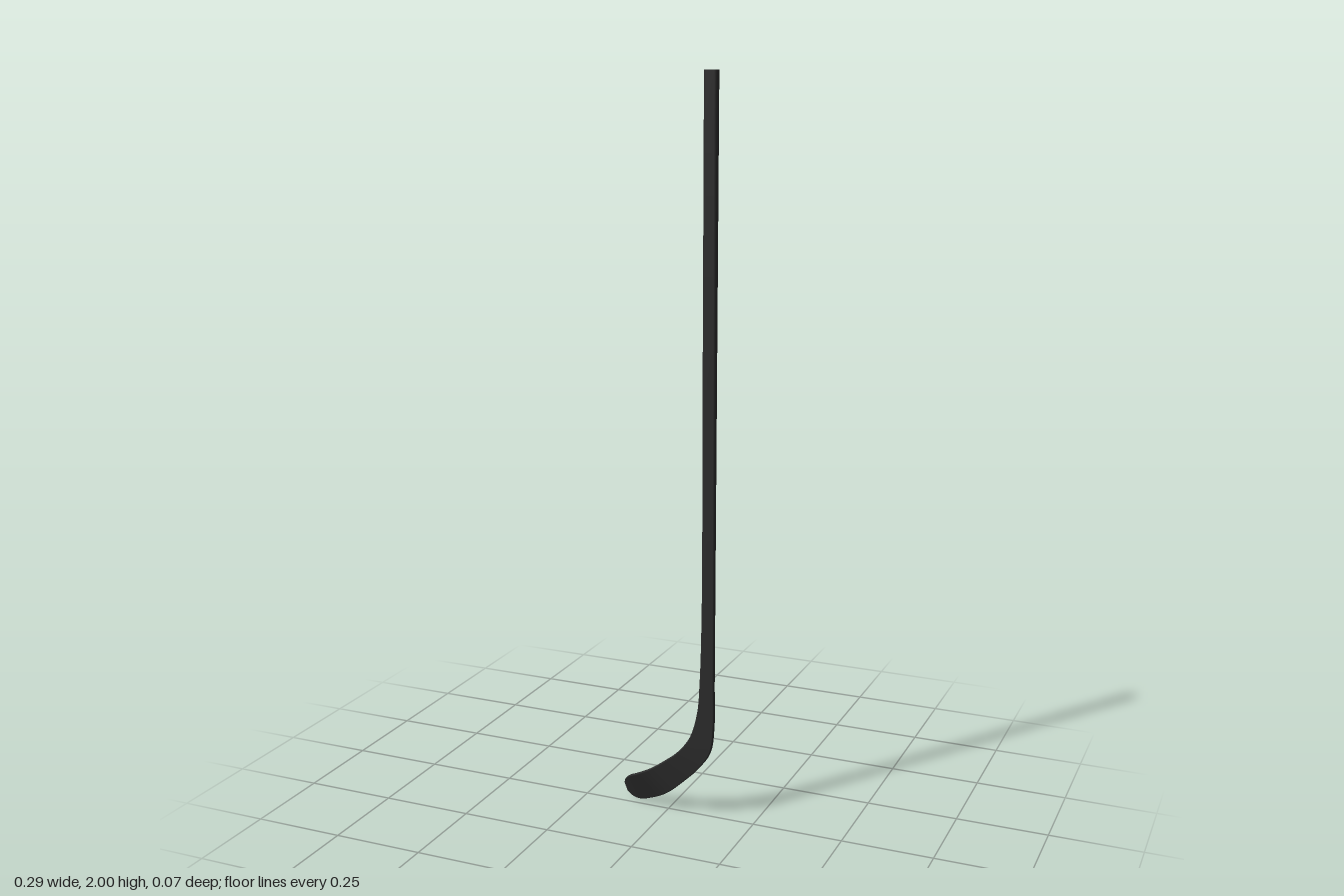
import * as THREE from 'three';

// Each row: inner edge x,y,z, outer edge x,y,z, thickness
const SECTIONS = [
  [0.106, 2.00, 0.021, 0.142, 2.00, 0.021, 0.023],
  [0.106, 1.20, 0.021, 0.142, 1.20, 0.021, 0.018],
  [0.106, 0.60, 0.021, 0.142, 0.60, 0.021, 0.014],
  [0.101, 0.40, 0.021, 0.142, 0.40, 0.021, 0.013],
  [0.094, 0.31, 0.021, 0.142, 0.27, 0.021, 0.013],
  [0.072, 0.235, 0.021, 0.132, 0.20, 0.020, 0.012],
  [0.035, 0.185, 0.021, 0.100, 0.150, 0.018, 0.011],
  [0.000, 0.155, 0.018, 0.050, 0.098, 0.012, 0.010],
  [-0.050, 0.118, 0.012, 0.000, 0.053, 0.002, 0.009],
  [-0.095, 0.092, 0.002, -0.055, 0.020, -0.018, 0.009],
  [-0.122, 0.077, -0.009, -0.098, 0.004, -0.030, 0.009],
  [-0.138, 0.062, -0.018, -0.122, 0.009, -0.031, 0.008],
  [-0.143, 0.050, -0.022, -0.136, 0.022, -0.027, 0.006],
];

// Rounded rectangle outline, counter-clockwise
function roundedSection(halfW, halfT) {
  const r = Math.min(halfT * 0.6, halfW * 0.8);
  const pts = [];
  [[1, 1], [-1, 1], [-1, -1], [1, -1]].forEach(([sx, sy], corner) => {
    for (let k = 0; k <= 4; k++) {
      const a = (corner + k / 4) * Math.PI / 2;
      pts.push([sx * (halfW - r) + r * Math.cos(a), sy * (halfT - r) + r * Math.sin(a)]);
    }
  });
  return pts;
}

// Sweep the changing section from the butt end to the toe
function sweepStick(stepsPerSection) {
  const inner = new THREE.CatmullRomCurve3(SECTIONS.map(s => new THREE.Vector3(s[0], s[1], s[2])));
  const outer = new THREE.CatmullRomCurve3(SECTIONS.map(s => new THREE.Vector3(s[3], s[4], s[5])));
  const spans = SECTIONS.length - 1;
  const rows = spans * stepsPerSection;
  const middle = t => inner.getPoint(t).add(outer.getPoint(t)).multiplyScalar(0.5);

  const rings = [];
  for (let i = 0; i <= rows; i++) {
    const t = i / rows;
    const span = Math.min(Math.floor(t * spans), spans - 1);
    const thick = THREE.MathUtils.lerp(SECTIONS[span][6], SECTIONS[span + 1][6], t * spans - span);
    const across = outer.getPoint(t).sub(inner.getPoint(t));
    const halfW = across.length() / 2;
    across.normalize();
    const along = middle(Math.min(1, t + 0.004)).sub(middle(Math.max(0, t - 0.004)));
    const normal = along.cross(across).normalize();
    const c = middle(t);
    rings.push(roundedSection(halfW, thick / 2).map(([u, v]) =>
      c.clone().addScaledVector(across, u).addScaledVector(normal, v)));
  }

  const n = rings[0].length;
  const points = rings.flat();
  const index = [];
  for (let i = 0; i < rows; i++) {
    for (let j = 0; j < n; j++) {
      const a = i * n + j, b = i * n + (j + 1) % n;
      index.push(a, b, b + n, a, b + n, a + n);
    }
  }

  // End caps with their own vertices for crisp edges
  [[rings[0], true], [rings[rows], false]].forEach(([ring, flip]) => {
    const start = points.length;
    points.push(...ring);
    for (let j = 1; j < n - 1; j++) {
      index.push(start, start + (flip ? j + 1 : j), start + (flip ? j : j + 1));
    }
  });

  const geometry = new THREE.BufferGeometry().setFromPoints(points);
  geometry.setIndex(index);
  geometry.computeVertexNormals();
  return geometry;
}

export function createModel() {
  const group = new THREE.Group();
  group.name = 'hockeyStick';
  const charcoal = new THREE.MeshStandardMaterial({ color: 0x2b2b2b });
  charcoal.name = 'charcoal';

  const stick = new THREE.Mesh(sweepStick(8), charcoal);
  stick.name = 'shaftAndBlade';
  group.add(stick);
  return group;
}
